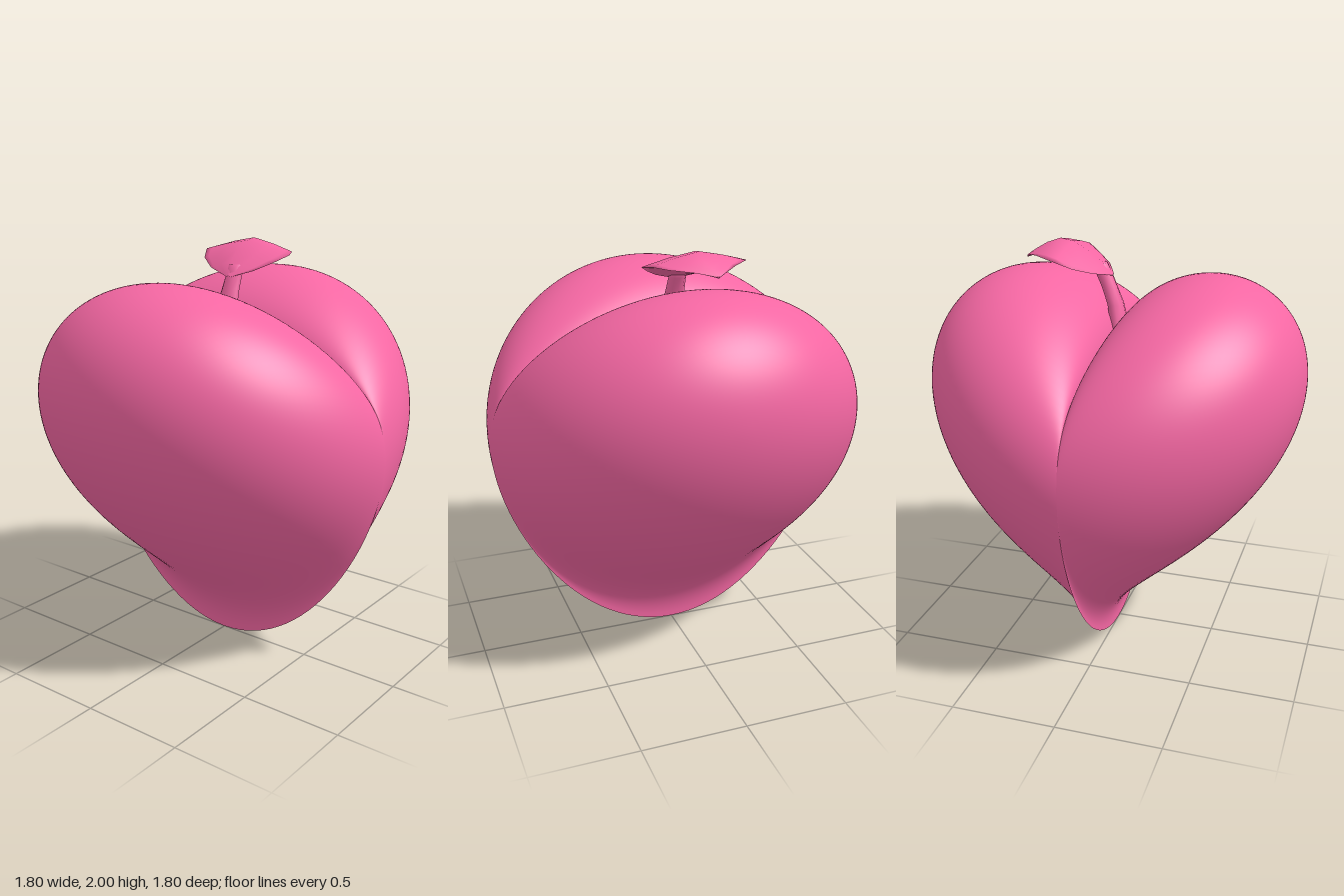
import * as THREE from 'three';
import { mergeVertices } from 'three/addons/utils/BufferGeometryUtils.js';

const R = 0.9;
const pink = new THREE.MeshStandardMaterial({ color: 0xf567a3 });

// Height of the lobe's middle above the tip: a steep cusp in the centre slice,
// easing to a gentle rise towards the front and back.
function lift(x, z) {
  const w = Math.min(1, (z / R) ** 2);
  const t = Math.max(0, x) / R;
  return 0.75 + (1 - w) * 0.62 * t ** 0.45 + w * (0.33 + 0.29 * t);
}

// One half of the heart: a hemisphere sheared upwards away from x = 0.
function lobeGeometry() {
  let g = new THREE.SphereGeometry(R, 112, 64, 0, Math.PI * 2, 0, Math.PI / 2);
  g.rotateZ(-Math.PI / 2);
  g.deleteAttribute('uv');
  g.deleteAttribute('normal');
  const p = g.attributes.position;
  for (let i = 0; i < p.count; i++) {
    const around = Math.atan2(p.getY(i), p.getZ(i));
    const a = Math.asin(THREE.MathUtils.clamp(p.getX(i) / R, 0, 1)) / (Math.PI / 2);
    const b = (Math.PI / 2) * a ** 1.8; // crowd the rings near the cleft
    const x = R * Math.sin(b), rho = R * Math.cos(b);
    const z = rho * Math.cos(around), y = rho * Math.sin(around);
    p.setXYZ(i, x, lift(x, z) + 0.833 * y, z);
  }
  g = mergeVertices(g, 1e-5);
  g.computeVertexNormals();
  return g;
}

// Skin a list of closed rings, each produced by ring(station, angle).
function loft(stations, sides, ring) {
  const pos = [], idx = [];
  for (const s of stations)
    for (let j = 0; j < sides; j++) pos.push(...ring(s, (j / sides) * Math.PI * 2));
  for (let i = 0; i < stations.length - 1; i++)
    for (let j = 0; j < sides; j++) {
      const a = i * sides + j, b = i * sides + ((j + 1) % sides);
      idx.push(a, a + sides, b, b, a + sides, b + sides);
    }
  const g = new THREE.BufferGeometry();
  g.setAttribute('position', new THREE.Float32BufferAttribute(pos, 3));
  g.setIndex(idx);
  g.computeVertexNormals();
  return g;
}

function add(parent, name, geometry) {
  const m = new THREE.Mesh(geometry, pink);
  m.name = name;
  parent.add(m);
  return m;
}

export function createModel() {
  const model = new THREE.Group();
  model.name = 'heartFruit';

  // Heart body: two mirrored lobes meeting in a crease
  const body = new THREE.Group();
  body.name = 'heartBody';
  model.add(body);
  const lobe = lobeGeometry();
  add(body, 'leftLobe', lobe);
  add(body, 'rightLobe', lobe).scale.x = -1;

  // Stem: [centre x, y, half width x, half width z]
  const stem = [
    [0, 1.54, 0, 0], [0, 1.54, 0.045, 0.08], [0, 1.6, 0.041, 0.07],
    [0.02, 1.7, 0.038, 0.055], [0.05, 1.78, 0.037, 0.045],
    [0.08, 1.85, 0.04, 0.04], [0.1, 1.89, 0.04, 0.04], [0.1, 1.89, 0, 0],
  ];
  add(model, 'stem', loft(stem, 10, ([x, y, rx, rz], a) =>
    [x + rx * Math.cos(a), y, rz * Math.sin(a)]));

  // Leaf: [x, centre z, half width, ridge y, edge y, underside y]
  const leaf = [
    [0.03, 0, 0.01, 1.84, 1.835, 1.83], [0.08, -0.02, 0.125, 1.9, 1.865, 1.85],
    [0.15, -0.035, 0.205, 1.955, 1.9, 1.87], [0.22, -0.03, 0.25, 1.99, 1.935, 1.89],
    [0.28, -0.03, 0.225, 2.0, 1.945, 1.905], [0.35, -0.02, 0.155, 1.975, 1.94, 1.92],
    [0.4, -0.045, 0.075, 1.945, 1.93, 1.92], [0.435, -0.06, 0.01, 1.92, 1.915, 1.908],
    [0.435, -0.06, 0, 1.915, 1.915, 1.915],
  ];
  add(model, 'leaf', loft(leaf, 12, ([x, zc, w, top, edge, under], a) => {
    const bulge = 1 - Math.abs(Math.cos(a)) ** 1.3;
    return [x, edge + bulge * (Math.sin(a) >= 0 ? top - edge : under - edge), zc + w * Math.cos(a)];
  }));

  return model;
}
